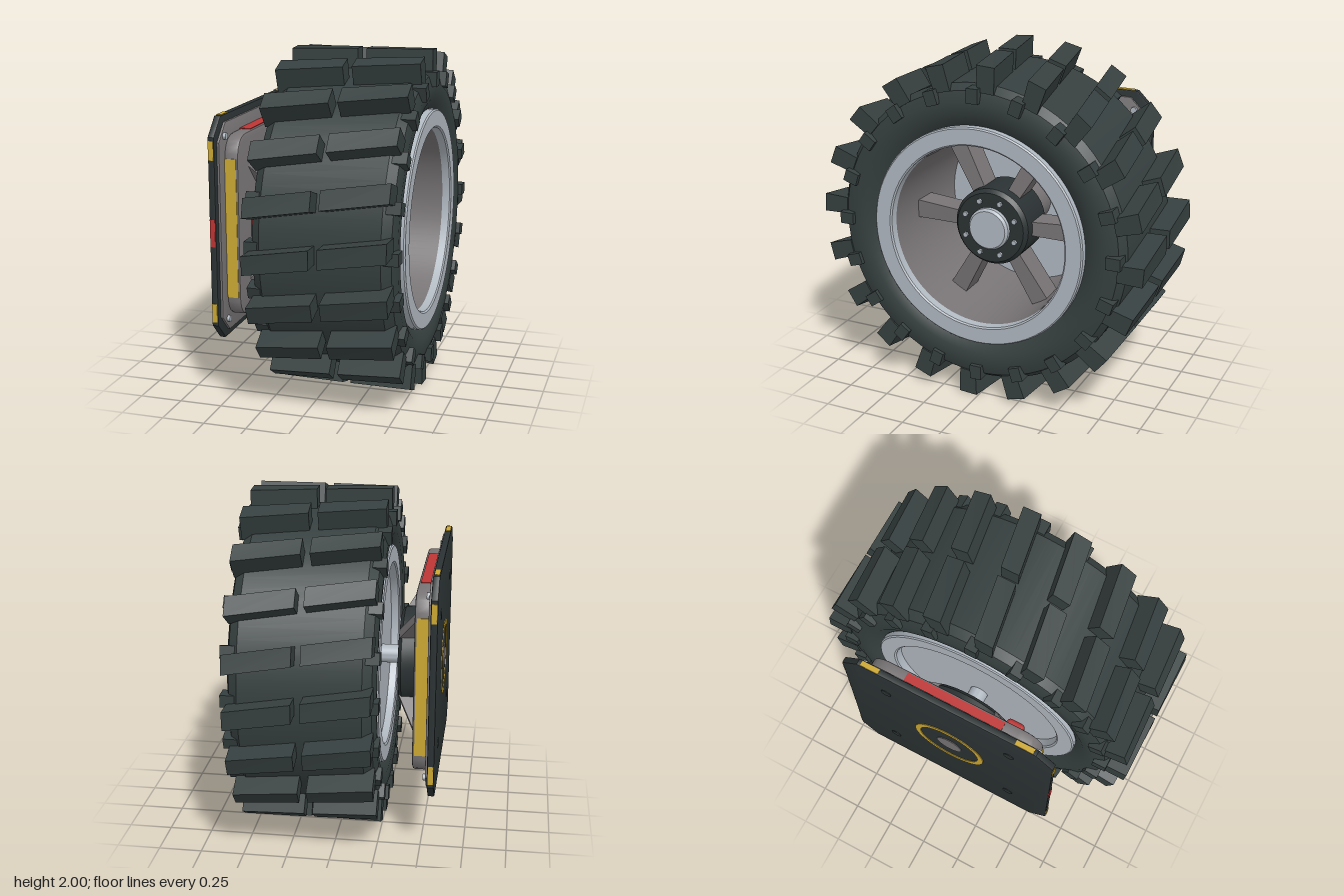
import * as THREE from 'three';
import { toCreasedNormals } from 'three/addons/utils/BufferGeometryUtils.js';
import { RoundedBoxGeometry } from 'three/addons/geometries/RoundedBoxGeometry.js';

const mat = (name, color) => {
  const m = new THREE.MeshStandardMaterial({ color });
  m.name = name;
  return m;
};

export function createModel() {
  const rubber = mat('rubber', 0x363f3f);
  const dark = mat('dark metal', 0x2b3233);
  const gray = mat('gray metal', 0x787476);
  const silver = mat('silver', 0xb0b8c0);
  const yellow = mat('yellow', 0xcca833);
  const red = mat('red', 0xbe3535);

  const model = new THREE.Group();
  const axle = new THREE.Group(); // everything is laid out around the wheel axis (x)
  axle.name = 'wheelAssembly';
  axle.position.y = 1;
  model.add(axle);

  const add = (name, geometry, material, parent = axle) => {
    const mesh = new THREE.Mesh(geometry, material);
    mesh.name = name;
    parent.add(mesh);
    return mesh;
  };
  // profile of [x, radius] turned around the x axis
  const turn = (profile, segments = 72) => toCreasedNormals(
    new THREE.LatheGeometry(profile.map(([x, r]) => new THREE.Vector2(r, x)), segments)
      .rotateZ(-Math.PI / 2), 0.6);
  const disc = (x0, x1, r, segments = 40) =>
    turn([[x0, 0], [x0, r], [x1, r], [x1, 0]], segments);
  const ring = (x0, x1, r0, r1) =>
    turn([[x0, r0], [x0, r1], [x1, r1], [x1, r0], [x0, r0]], 56);
  const box = (x0, x1, y0, y1, z0, z1) => new THREE.BoxGeometry(x1 - x0, y1 - y0, z1 - z0)
    .translate((x0 + x1) / 2, (y0 + y1) / 2, (z0 + z1) / 2);
  // copies around the axis
  const around = (count, start, build) => {
    for (let i = 0; i < count; i++) {
      const g = new THREE.Group();
      g.rotation.x = start + (i * Math.PI * 2) / count;
      axle.add(g);
      build(g, i);
    }
  };

  // Tyre
  const mid = 0.14;
  add('tyreCarcass', turn([
    [-0.21, 0.63], [-0.235, 0.66], [-0.265, 0.72], [-0.27, 0.79], [-0.25, 0.85], [-0.2, 0.885],
    [0.48, 0.885], [0.53, 0.85], [0.55, 0.79], [0.545, 0.72], [0.515, 0.66], [0.49, 0.63],
  ], 80), rubber);

  const lugGeometry = (x0, x1) => {
    const g = box(x0, x1, 0.85, 1, -0.055, 0.055);
    const p = g.attributes.position;
    for (let i = 0; i < p.count; i++) {
      const z = p.getZ(i) * (p.getY(i) > 0.9 ? 1 : 0.9) - 0.165 * (p.getX(i) - mid);
      p.setZ(i, z);
      p.setY(i, Math.sqrt(p.getY(i) ** 2 - z * z));
    }
    g.computeVertexNormals();
    return g;
  };
  const lugs = [lugGeometry(-0.26, 0.115), lugGeometry(0.165, 0.54)];
  const shoulder = [box(-0.29, -0.2, 0.79, 0.875, -0.035, 0.035),
    box(0.48, 0.575, 0.79, 0.875, -0.035, 0.035)];
  around(20, 0, (g) => {
    lugs.forEach((l) => add('treadLug', l, rubber, g));
    shoulder.forEach((s) => add('shoulderBlock', s, rubber, g));
  });

  // Rim: outer lip, inner lip, barrel and rear disc
  add('outerRimLip', turn([[0.45, 0.65], [0.545, 0.65], [0.553, 0.642], [0.553, 0.552],
    [0.545, 0.543], [0.5, 0.54]]), silver);
  add('innerRimLip', turn([[-0.2, 0.53], [-0.255, 0.54], [-0.262, 0.55], [-0.262, 0.642],
    [-0.255, 0.65], [-0.15, 0.65]]), silver);
  add('rimBarrel', turn([[0.5, 0.54], [-0.2, 0.52]]), gray);
  add('rimBackDisc', disc(-0.21, -0.19, 0.535, 64), silver);

  // Spokes widen and lean slightly inward toward the barrel
  const spoke = box(0.13, 0.28, 0.18, 0.535, -0.04, 0.04);
  const sp = spoke.attributes.position;
  for (let i = 0; i < sp.count; i++) {
    if (sp.getY(i) > 0.4) {
      sp.setZ(i, sp.getZ(i) * 1.35);
      sp.setX(i, sp.getX(i) - 0.03);
    }
  }
  spoke.computeVertexNormals();
  around(6, Math.PI / 2, (g) => add('spoke', spoke, gray, g));

  // Hub
  add('hub', turn([[0.08, 0], [0.08, 0.21], [0.1, 0.23], [0.335, 0.23], [0.36, 0.21],
    [0.36, 0]], 40), dark);
  add('hubTube', disc(-0.2, 0.09, 0.14), gray);
  add('hubCap', turn([[0.35, 0.125], [0.385, 0.125], [0.4, 0.112], [0.4, 0]], 40), silver);
  const hubBolt = disc(0.35, 0.375, 0.016, 6).translate(0, 0.168, 0);
  around(8, Math.PI / 8, (g) => add('hubBolt', hubBolt, silver, g));
  add('axleShaft', disc(-0.56, -0.2, 0.055), silver);

  // Square plates with cut or rounded corners, bevelled edges
  const plate = (x0, x1, half, corner, bevel, round) => {
    const h = half - bevel, c = h - corner, s = new THREE.Shape();
    s.moveTo(-c, -h);
    [[[c, -h], [h, -c], [h, -h]], [[h, c], [c, h], [h, h]],
      [[-c, h], [-h, c], [-h, h]], [[-h, -c], [-c, -h], [-h, -h]]].forEach(([a, b, k]) => {
      s.lineTo(...a);
      if (round) s.quadraticCurveTo(...k, ...b); else s.lineTo(...b);
    });
    const g = new THREE.ExtrudeGeometry(s, {
      depth: x1 - x0 - 2 * bevel, bevelThickness: bevel, bevelSize: bevel,
      bevelSegments: 2, curveSegments: 6,
    });
    return toCreasedNormals(g.translate(0, 0, x0 + bevel).rotateY(Math.PI / 2), 0.5);
  };
  add('mountPlate', plate(-0.58, -0.54, 0.655, 0.1, 0.008, false), dark);
  add('spacerPlate', plate(-0.542, -0.527, 0.615, 0.1, 0.003, false), gray);
  add('motorHousing', plate(-0.53, -0.445, 0.54, 0.13, 0.014, true), gray);

  // Edge markings and housing stripes on the four sides
  around(4, 0, (g, i) => {
    [-0.475, 0.475].forEach((z) =>
      add('edgeMark', box(-0.576, -0.546, 0.652, 0.658, z - 0.055, z + 0.055), yellow, g));
    if (i === 1) add('frontEdgeMark', box(-0.576, -0.546, 0.652, 0.658, -0.08, 0.08), red, g);
    const w = i % 2 ? 0.41 : 0.305;
    add('housingStripe', box(-0.525, -0.458, 0.536, 0.544, -w, w), i % 2 ? yellow : red, g);
  });

  // Corner bolts, outer plate bolts and diagonal gussets
  const gussetShape = new THREE.Shape([[-0.45, 0.2], [-0.335, 0.2], [-0.335, 0.28], [-0.45, 0.52]]
    .map(([x, y]) => new THREE.Vector2(x, y)));
  const gusset = new THREE.ExtrudeGeometry(gussetShape, { depth: 0.06, bevelEnabled: false })
    .translate(0, 0, -0.03);
  const cornerBolt = disc(-0.53, -0.51, 0.02, 12).translate(0, 0.54 * Math.SQRT2, 0);
  const plateBolt = disc(-0.584, -0.575, 0.032, 16).translate(0, 0.39 * Math.SQRT2, 0);
  around(4, Math.PI / 4, (g) => {
    add('gusset', gusset, gray, g);
    add('cornerBolt', cornerBolt, silver, g);
    add('plateBolt', plateBolt, dark, g);
  });

  // Gearbox, bearing and outer plate centre
  add('gearbox', turn([[-0.45, 0], [-0.45, 0.29], [-0.35, 0.29], [-0.33, 0.27], [-0.33, 0]], 40),
    dark);
  add('bearingRing', ring(-0.335, -0.322, 0.055, 0.09), yellow);
  add('plateRing', ring(-0.585, -0.575, 0.19, 0.225), yellow);
  add('plateCentre', disc(-0.585, -0.575, 0.08), gray);

  // Connector block on the front side
  add('connectorBlock', new RoundedBoxGeometry(0.15, 0.255, 0.115, 2, 0.025)
    .translate(-0.375, 0, 0.302), red);

  return model;
}
